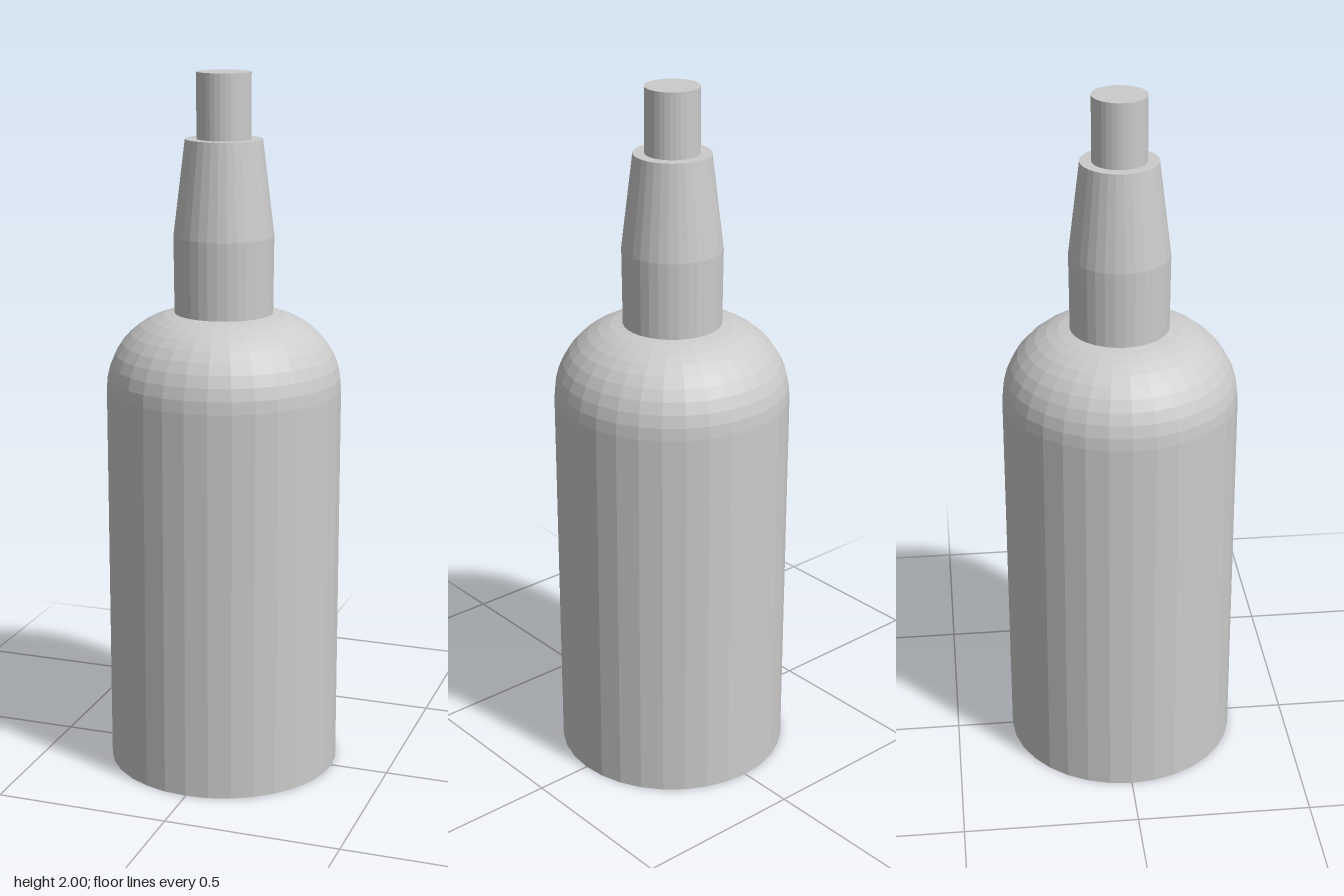
import * as THREE from 'three';

const SIDES = 32;

export function createModel() {
  const group = new THREE.Group();
  const material = new THREE.MeshStandardMaterial({ color: 0xcccccc, flatShading: true });

  // Turns a list of [radius, height] pairs, from bottom to top, into a named part
  const turn = (name, profile, offset = 0) => {
    const points = profile.map(([r, y]) => new THREE.Vector2(r, y));
    const mesh = new THREE.Mesh(new THREE.LatheGeometry(points, SIDES), material);
    mesh.name = name;
    mesh.position.set(offset, 0, offset);
    group.add(mesh);
  };

  // Bottle body: flat base, straight wall and rounded shoulder
  const radius = 0.333, shoulderRadius = 0.217, shoulderY = 1.117;
  const body = [[0, 0], [radius, 0]];
  const steps = 9;
  for (let i = 0; i <= steps; i++) {
    const a = (i / steps) * THREE.MathUtils.degToRad(84);
    body.push([
      radius - shoulderRadius + shoulderRadius * Math.cos(a),
      shoulderY + shoulderRadius * Math.sin(a),
    ]);
  }
  body.push([0, shoulderY + shoulderRadius]);
  turn('body', body);

  // Neck: straight collar, then a taper to a flat lip
  turn('neck', [[0.139, 1.32], [0.141, 1.55], [0.108, 1.818], [0, 1.818]], -0.001);

  // Stopper standing in the lip
  turn('stopper', [[0.076, 1.81], [0.076, 2], [0, 2]], -0.001);

  return group;
}
